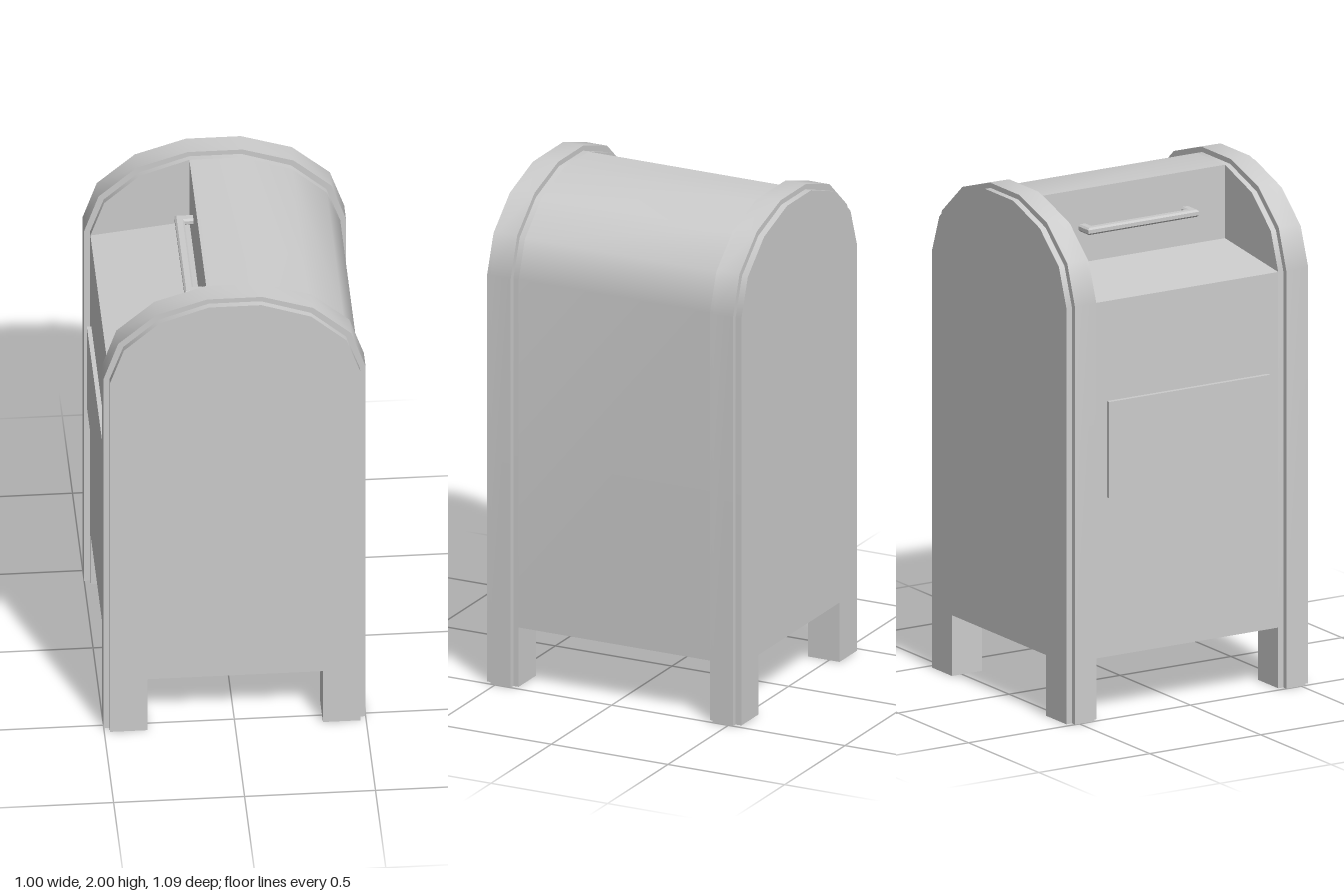
import * as THREE from 'three';

const mat = new THREE.MeshStandardMaterial({ color: 0xcccccc, side: THREE.DoubleSide });

// half arches, from the straight side up to the crown
const INNER = [[0.478, 1.645], [0.425, 1.795], [0.29, 1.915], [0.1, 1.98]];
const OUTER = [[0.5, 1.65], [0.445, 1.81], [0.3, 1.937], [0.105, 2]];
const W = INNER[0][0], LEG_X = 0.335, LEG_Z = 0.41, LEG_H = 0.24, END_Z = 0.545;
const HOP_X = -0.1, HOP_Y = 1.69, SILL_Y = 1.645;

const mirrored = (half) => half.map(([x, y]) => [-x, y]).reverse();
const arch = (half, foot) => [
  [half[0][0], foot], ...half, ...mirrored(half), [-half[0][0], foot],
];

function shapeOf(points) {
  return new THREE.Shape(points.map(([x, y]) => new THREE.Vector2(x, y)));
}

export function createModel() {
  const model = new THREE.Group();

  function add(name, geometry, x = 0, y = 0, z = 0) {
    const mesh = new THREE.Mesh(geometry, mat);
    mesh.name = name;
    mesh.position.set(x, y, z);
    model.add(mesh);
    return mesh;
  }

  // sheet swept along z over a path of [x, y] points, smooth across its folds
  function sheet(name, path, z0, z1) {
    const pos = [], index = [];
    path.forEach(([x, y], i) => {
      pos.push(x, y, z0, x, y, z1);
      const a = 2 * i;
      if (i < path.length - 1) index.push(a, a + 2, a + 1, a + 1, a + 2, a + 3);
    });
    const geometry = new THREE.BufferGeometry();
    geometry.setAttribute('position', new THREE.Float32BufferAttribute(pos, 3));
    geometry.setIndex(index);
    geometry.computeVertexNormals();
    return add(name, geometry);
  }

  // flat panel facing +z, or -z when side is -1 (the outline is mirrored back)
  function panel(name, points, z, side) {
    const outline = points.map(([x, y]) => [x * side, y]);
    const mesh = add(name, new THREE.ShapeGeometry(shapeOf(outline)), 0, 0, z);
    if (side < 0) mesh.rotation.y = Math.PI;
    return mesh;
  }

  // main shell, open underneath, with the hopper cut from its -x shoulder
  sheet('bodyShell', [[W, LEG_H], ...INNER, [HOP_X, 1.98]], -LEG_Z, LEG_Z);
  sheet('hopperBackWall', [[HOP_X, 1.98], [HOP_X, HOP_Y]], -LEG_Z, LEG_Z);
  sheet('hopperFloor', [[HOP_X, HOP_Y], [-W, SILL_Y]], -LEG_Z, LEG_Z);
  sheet('hopperSideWall', [[-W, SILL_Y], [-W, LEG_H]], -LEG_Z, LEG_Z);

  const endOutline = [
    ...arch(INNER, 0),
    [-LEG_X, 0], [-LEG_X, LEG_H], [LEG_X, LEG_H], [LEG_X, 0],
  ];
  const hopperCheek = [...mirrored(INNER), [HOP_X, HOP_Y]];
  const bandOutline = [...arch(OUTER, 0), ...arch(INNER, 0).reverse()];

  for (const s of [1, -1]) {
    const span = (a, b) => (s > 0 ? [a, b] : [-b, -a]);
    const end = s > 0 ? 'front' : 'back';

    // end walls with their rims and hopper cheeks
    panel(end + 'Panel', endOutline, s * END_Z, s);
    sheet(end + 'Rim', arch(INNER, 0), ...span(LEG_Z, END_Z));
    panel(end + 'HopperCheek', hopperCheek, s * LEG_Z, -s);

    // raised band around each end
    sheet(end + 'Band', arch(OUTER, 0), ...span(0.433, 0.52));
    panel(end + 'BandOuterFace', bandOutline, s * 0.52, s);
    panel(end + 'BandInnerFace', bandOutline, s * 0.433, -s);

    // inner walls of the hollow legs
    for (const t of [1, -1]) {
      const legX = t * (LEG_X + W) / 2;
      const across = add(end + 'LegInnerWall', new THREE.PlaneGeometry(W - LEG_X, LEG_H),
        legX, LEG_H / 2, s * LEG_Z);
      across.rotation.y = s > 0 ? Math.PI : 0;
      const along = add(end + 'LegSideWall', new THREE.PlaneGeometry(END_Z - LEG_Z, LEG_H),
        t * LEG_X, LEG_H / 2, s * (LEG_Z + END_Z) / 2);
      along.rotation.y = -t * Math.PI / 2;
    }
  }

  // notice plate on the hopper side
  add('sidePlate', new THREE.BoxGeometry(0.018, 0.38, 0.725), -W - 0.008, 1.06, 0);

  // pull handle on the hopper's back wall
  const handle = new THREE.ExtrudeGeometry(shapeOf([
    [HOP_X, -0.243], [HOP_X, -0.22], [-0.141, -0.22], [-0.141, 0.22],
    [HOP_X, 0.22], [HOP_X, 0.243], [-0.163, 0.243], [-0.163, -0.243],
  ]), { depth: 0.014, bevelSize: 0.007, bevelThickness: 0.007, bevelSegments: 1 });
  handle.rotateX(Math.PI / 2);
  add('hopperHandle', handle, 0, 1.835, 0);

  return model;
}
